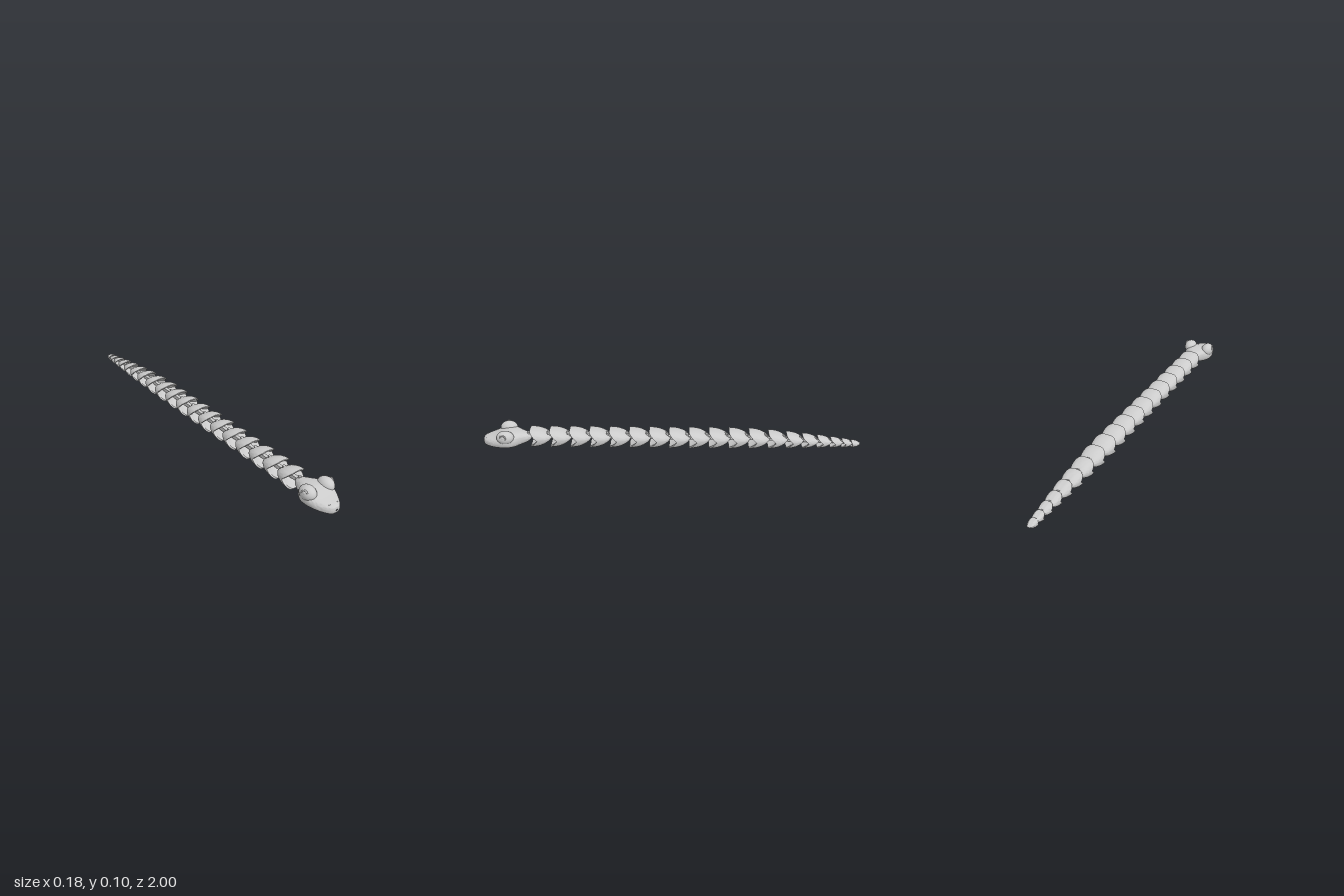
import * as THREE from 'three';
import { toCreasedNormals } from 'three/addons/utils/BufferGeometryUtils.js';

const material = new THREE.MeshStandardMaterial({ color: 0xcccccc });
const N = 40;

function addMesh(parent, name, geometry, position = [0, 0, 0]) {
  const mesh = new THREE.Mesh(geometry, material);
  mesh.name = name;
  mesh.position.set(...position);
  parent.add(mesh);
  return mesh;
}

// Skins closed rings; point(ring, angle) returns [x, y, z]
function loft(ringCount, point, crease = 0.7) {
  const positions = [], index = [];
  for (let r = 0; r < ringCount; r++) {
    for (let j = 0; j < N; j++) {
      positions.push(...point(r, (j / N) * Math.PI * 2));
      if (r === ringCount - 1) continue;
      const a = r * N + j, b = r * N + (j + 1) % N;
      index.push(a, a + N, b, b, a + N, b + N);
    }
  }
  const g = new THREE.BufferGeometry();
  g.setAttribute('position', new THREE.Float32BufferAttribute(positions, 3));
  g.setIndex(index);
  return toCreasedNormals(g, crease);
}

// Signed power used for squarish cross-sections
const bend = (v, p) => Math.sign(v) * Math.abs(v) ** p;

// Hollow dome: wide notched cup in front, leaf-shaped rounded back
function segmentGeometry(W, H, L, hollow) {
  const inner = 9, outer = 18, yc = H * 0.51, half = H * 0.49;
  const notchDepth = hollow ? L * 0.36 : L * 0.15;
  return loft(inner + outer, (r, a) => {
    const c = bend(Math.cos(a), 0.85), s = bend(Math.sin(a), 0.85);
    const notch = notchDepth * Math.max(0, 1 - Math.abs(s) * 1.1);
    let t, scale = 1;
    if (r < inner) {
      // Cavity, from its deepest point out to the rim
      const v = r / (inner - 1), rim = notch / L;
      t = 0.58 + (rim - 0.58) * v;
      scale = 0.87 * v ** 0.65;
    } else {
      const u = Math.sin(((r - inner) / (outer - 1)) * Math.PI / 2);
      t = notch / L + u * (1 - notch / L);
    }
    const shape = r < inner ? notch / L : Math.min(t, 1);
    const w = W * Math.sqrt(Math.max(0, 1 - shape ** 2.8)) * scale;
    const h = half * Math.max(0, 1 - shape ** 2.2) ** 0.85 * scale;
    const x = w * c;
    let y = yc + h * s * (s < 0 ? 1.12 : 1);
    // Groove for the link on top of the back
    if (hollow && r >= inner && s > 0 && t > 0.76 && Math.abs(x) < W * 0.2) y = yc + h * s * 0.35;
    return [x, Math.max(y, H * 0.04), -t * L];
  });
}

function createSegment(front, back, index, last) {
  const group = new THREE.Group();
  group.name = last ? 'tailTip' : `bodySegment${index + 1}`;
  group.position.z = front;
  const taper = Math.max(0, (-0.31 - front) / 0.64);
  const W = 0.063 - 0.041 * taper ** 1.5;
  const H = 0.095 - 0.058 * taper ** 1.6;
  const L = last ? front - back : front - back + 0.01;
  addMesh(group, 'shell', segmentGeometry(W, H, L, !last));
  // Tongue and pin that hook into the segment ahead
  addMesh(group, 'linkTongue', new THREE.BoxGeometry(W * 0.3, H * 0.2, L * 0.72), [0, H * 0.51, -L * 0.24]);
  addMesh(group, 'linkPin', new THREE.CylinderGeometry(W * 0.13, W * 0.13, H * 0.46, 16), [0, H * 0.53, L * 0.1]);
  return group;
}

// Head stations from snout to neck: z, half width, bottom, top
const headStations = [
  [1.0, 0.004, 0.024, 0.03], [0.998, 0.018, 0.012, 0.042], [0.988, 0.033, 0.004, 0.049],
  [0.965, 0.051, 0.002, 0.055], [0.935, 0.068, 0.002, 0.063], [0.905, 0.079, 0.002, 0.074],
  [0.875, 0.083, 0.002, 0.082], [0.85, 0.08, 0.002, 0.083], [0.825, 0.067, 0.004, 0.081],
  [0.8, 0.047, 0.009, 0.077], [0.78, 0.036, 0.015, 0.072], [0.76, 0.026, 0.024, 0.065],
  [0.745, 0.012, 0.036, 0.056], [0.742, 0.001, 0.045, 0.047],
];

function headGeometry() {
  const curve = (k) => new THREE.SplineCurve(headStations.map((s) => new THREE.Vector2(s[0], s[k])));
  const curves = [1, 2, 3].map(curve);
  const rings = 50;
  return loft(rings, (r, a) => {
    const [p, q, t] = curves.map((c) => c.getPoint(r / (rings - 1)));
    const c = bend(Math.cos(a), 0.75), s = bend(Math.sin(a), 0.7);
    const mid = (q.y + t.y) / 2;
    return [Math.max(p.y, 0.001) * c, Math.max(0.001, mid + (t.y - mid) * s), p.x];
  }, 1.0);
}

function createHead() {
  const head = new THREE.Group();
  head.name = 'head';
  addMesh(head, 'skull', headGeometry());
  for (const side of [1, -1]) {
    const name = side > 0 ? 'left' : 'right';
    // Brow bulge blending into the skull
    const brow = addMesh(head, `${name}Brow`, new THREE.SphereGeometry(1, 32, 20), [side * 0.055, 0.068, 0.872]);
    brow.scale.set(0.035, 0.037, 0.046);
    // Eye set in a raised ring
    const eye = new THREE.Group();
    eye.name = `${name}Eye`;
    eye.position.set(side * 0.083, 0.079, 0.879);
    eye.rotation.set(-0.25, side * 1.35, 0);
    addMesh(eye, 'eyeRing', new THREE.TorusGeometry(0.015, 0.004, 10, 28));
    addMesh(eye, 'eyeball', new THREE.SphereGeometry(0.011, 20, 14)).scale.z = 0.55;
    head.add(eye);
    // Nostril
    const nostril = addMesh(head, `${name}Nostril`, new THREE.TorusGeometry(0.007, 0.0025, 8, 18), [side * 0.025, 0.043, 0.982]);
    nostril.rotation.set(-0.7, side * 0.5, 0);
  }
  return head;
}

export function createModel() {
  const model = new THREE.Group();
  model.name = 'articulatedSnake';
  model.add(createHead());
  // Front edges of the body segments, ending at the tail tip
  const fronts = [];
  for (let i = 0; i < 12; i++) fronts.push(0.748 - i * 0.105);
  fronts.push(-0.51, -0.605, -0.69, -0.77, -0.84, -0.9, -0.95, -1);
  for (let i = 0; i < fronts.length - 1; i++) {
    model.add(createSegment(fronts[i], fronts[i + 1], i, i === fronts.length - 2));
  }
  return model;
}
